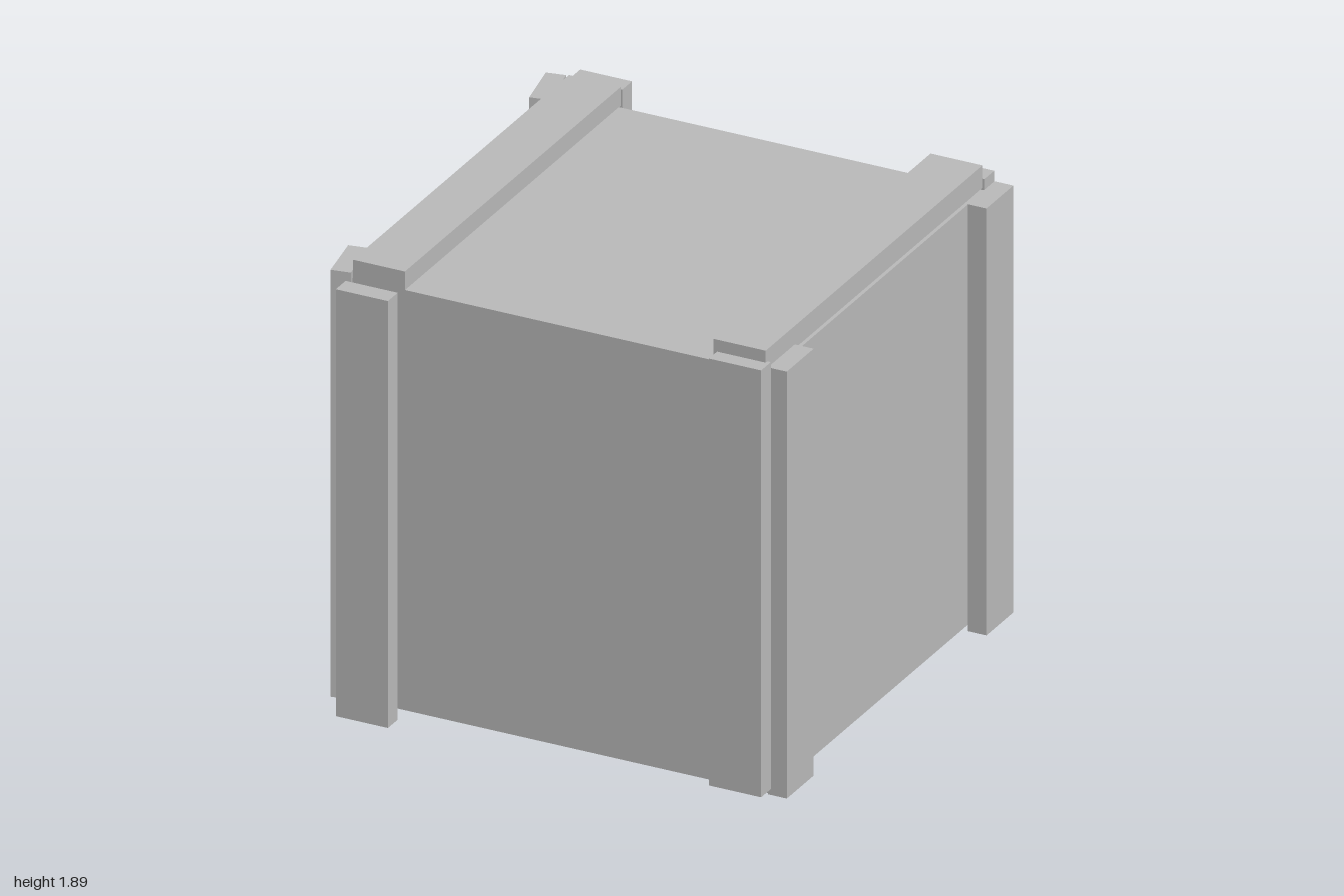
import * as THREE from 'three';

export function createModel() {
  const crate = new THREE.Group();
  crate.name = 'crate';
  const grey = new THREE.MeshStandardMaterial({ color: 0xbcbcbc });
  grey.name = 'plain grey';

  const WIDTH = 0.22, THICK = 0.08, LENGTH = 1.785;

  function box(name, size, centre, turn = 0) {
    const mesh = new THREE.Mesh(new THREE.BoxGeometry(...size), grey);
    mesh.name = name;
    mesh.position.set(...centre);
    mesh.rotation.y = turn;
    crate.add(mesh);
  }

  // Main body
  box('body', [1.763, 1.757, 1.75], [0.011, 0.909, 0.006]);

  // Lid planks, running front to back
  box('lidPlankRight', [WIDTH, 0.08, 1.767], [-0.76, 1.825, -0.002]);
  box('lidPlankLeft', [WIDTH, 0.094, 1.773], [0.775, 1.843, 0.017]);

  // Upright planks on the front and back: name, x, bottom, z
  for (const [name, x, bottom, z] of [
    ['frontPlankRight', -0.773, 0.003, 0.955],
    ['frontPlankLeft', 0.79, 0.055, 0.93],
    ['backPlankRight', -0.77, 0.052, -0.957],
    ['backPlankLeft', 0.775, 0.04, -0.927],
  ]) box(name, [WIDTH, LENGTH, THICK], [x, bottom + LENGTH / 2, z]);

  // Upright planks on the sides, two of them knocked askew: name, x, bottom, z, turn
  for (const [name, x, bottom, z, turn] of [
    ['leftPlankFront', 0.927, 0.03, 0.78, 0],
    ['leftPlankBack', 0.943, 0.015, -0.823, 0],
    ['rightPlankFront', -0.926, 0.035, 0.8, 0.17],
    ['rightPlankBack', -0.897, 0.08, -0.764, 0.19],
  ]) box(name, [THICK, LENGTH, WIDTH], [x, bottom + LENGTH / 2, z], turn);

  return crate;
}
